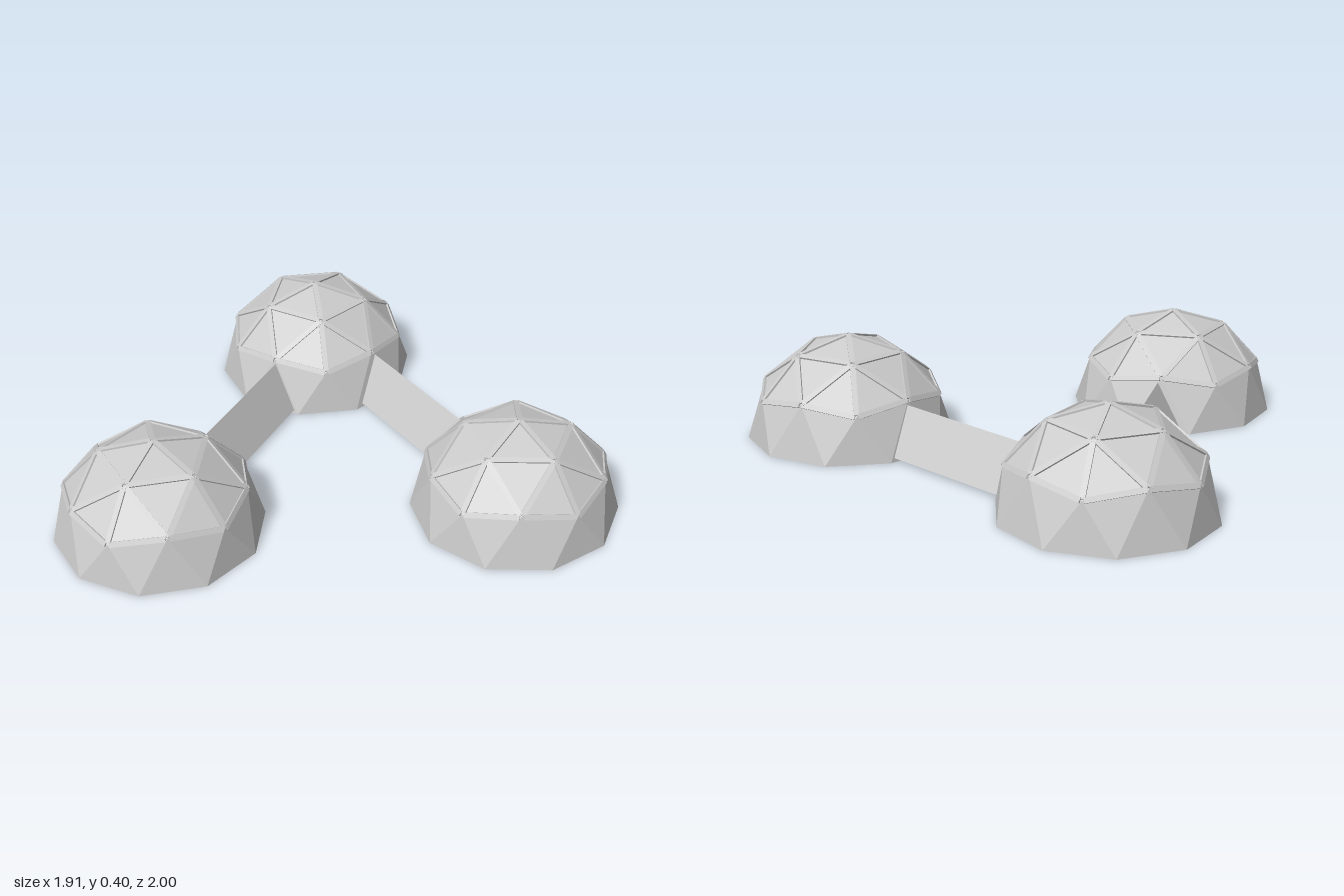
import * as THREE from 'three';

const RADIUS = 0.395;
const material = new THREE.MeshStandardMaterial({ color: 0xcccccc, flatShading: true });

// Triangles of the upper half of a two-frequency geodesic sphere, one vertex on top
function domeTriangles() {
  const sphere = new THREE.IcosahedronGeometry(RADIUS, 1);
  sphere.rotateX(-Math.atan2((1 + Math.sqrt(5)) / 2, 1));
  const pos = sphere.attributes.position;
  const triangles = [];
  for (let i = 0; i < pos.count; i += 3) {
    const tri = [0, 1, 2].map((k) => new THREE.Vector3().fromBufferAttribute(pos, i + k));
    if (tri[0].y + tri[1].y + tri[2].y > 0.01) triangles.push(tri);
  }
  return triangles;
}

// Thin raised batten along one edge of the dome
function makeStrut(a, b) {
  const along = b.clone().sub(a);
  const length = along.length();
  along.normalize();
  const mid = a.clone().add(b).multiplyScalar(0.5);
  const out = mid.clone().normalize();
  const side = new THREE.Vector3().crossVectors(along, out);
  const strut = new THREE.Mesh(new THREE.BoxGeometry(length - 0.012, 0.014, 0.02), material);
  strut.name = 'strut';
  strut.applyMatrix4(new THREE.Matrix4().makeBasis(along, out, side)
    .setPosition(mid.addScaledVector(out, -0.002)));
  return strut;
}

function makeDome(name, x, z, turn) {
  const dome = new THREE.Group();
  dome.name = name;
  const triangles = domeTriangles();

  // Faceted shell
  const shellGeometry = new THREE.BufferGeometry().setFromPoints(triangles.flat());
  shellGeometry.computeVertexNormals();
  const shell = new THREE.Mesh(shellGeometry, material);
  shell.name = 'shell';
  dome.add(shell);

  // Ten-sided floor, facing down
  const floor = new THREE.Mesh(new THREE.CircleGeometry(RADIUS, 10).rotateX(Math.PI / 2), material);
  floor.name = 'floor';
  dome.add(floor);

  // One strut for each edge that stays clear of the ground
  const key = (v) => v.toArray().map((n) => Math.round(n * 1000) + 0).join();
  const done = new Set();
  for (const tri of triangles) {
    for (let k = 0; k < 3; k++) {
      const a = tri[k], b = tri[(k + 1) % 3];
      const id = [key(a), key(b)].sort().join('|');
      if (a.y < 0.05 || b.y < 0.05 || done.has(id)) continue;
      done.add(id);
      dome.add(makeStrut(a, b));
    }
  }
  dome.position.set(x, 0, z);
  dome.rotation.y = THREE.MathUtils.degToRad(turn);
  return dome;
}

// Passage with a triangular section between two points on the ground
function makeTunnel(name, from, to) {
  const start = new THREE.Vector3(from[0], 0, from[1]);
  const end = new THREE.Vector3(to[0], 0, to[1]);
  const section = new THREE.Shape([
    new THREE.Vector2(-0.1, 0.015),
    new THREE.Vector2(0.1, 0.015),
    new THREE.Vector2(0, 0.19),
  ]);
  const geometry = new THREE.ExtrudeGeometry(section, { depth: start.distanceTo(end), bevelEnabled: false });
  const tunnel = new THREE.Mesh(geometry, material);
  tunnel.name = name;
  tunnel.position.copy(start);
  tunnel.lookAt(end);
  return tunnel;
}

export function createModel() {
  const model = new THREE.Group();
  model.name = 'domeStation';
  model.add(
    makeDome('backDome', -0.565, -0.622, 178.8),
    makeDome('frontDome', -0.565, 0.62, 3),
    makeDome('leftDome', 0.567, -0.08, -11.2),
    makeTunnel('frontTunnel', [-0.57, -0.4], [-0.57, 0.4]),
    makeTunnel('leftTunnel', [-0.39, -0.61], [0.4, -0.18]),
  );
  return model;
}
